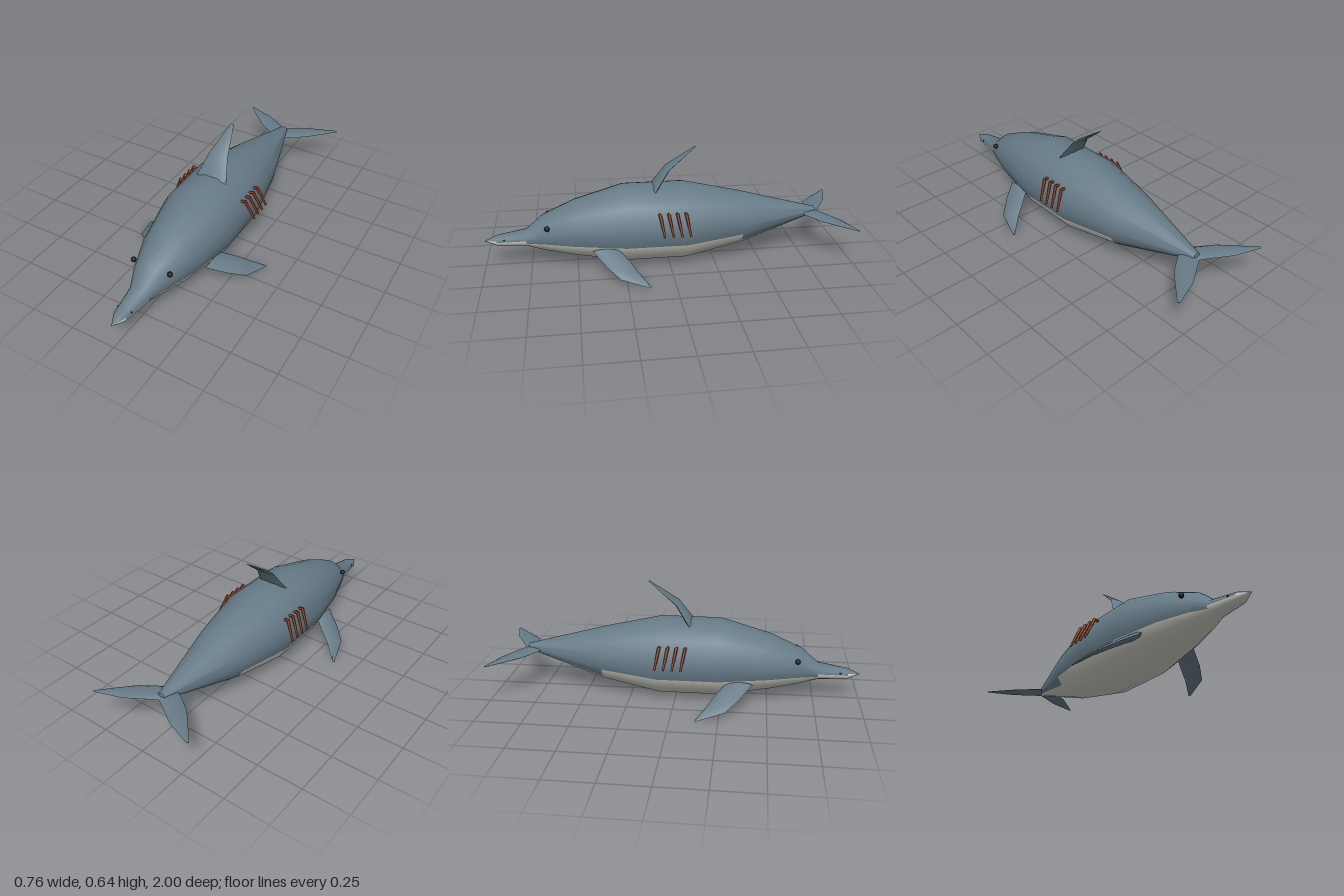
import * as THREE from 'three';
import { toCreasedNormals } from 'three/addons/utils/BufferGeometryUtils.js';

const skin = new THREE.MeshStandardMaterial({ color: 0x667a87 });
const pale = new THREE.MeshStandardMaterial({ color: 0xc9c9c0 });
const dark = new THREE.MeshStandardMaterial({ color: 0x1c1c1c });
const rust = new THREE.MeshStandardMaterial({ color: 0xa04a2c });

const SIDES = 18;

// Body stations, tail to snout: z, top y, bottom y, half width,
// and the angle from straight down that the pale belly reaches up to the next station
const STATIONS = [
  [-0.845, 0.23, 0.23, 0, 0],
  [-0.84, 0.248, 0.213, 0.023, 50],
  [-0.4, 0.363, 0.07, 0.155, 70],
  [-0.09, 0.433, 0.006, 0.213, 70],
  [0.24, 0.433, 0.006, 0.211, 70],
  [0.51, 0.356, 0.05, 0.156, 70],
  [0.68, 0.28, 0.085, 0.097, 70],
  [0.77, 0.203, 0.112, 0.058, 90],
  [0.93, 0.175, 0.12, 0.037, 110],
  [1.0, 0.146, 0.146, 0, 0],
];

function bodyGeometry() {
  const pos = [], back = [], belly = [];
  for (const [z, top, bottom, w] of STATIONS) {
    for (let j = 0; j < SIDES; j++) {
      const a = THREE.MathUtils.degToRad(20 * j - 170);
      pos.push(w * Math.sin(a), (top + bottom) / 2 - (top - bottom) / 2 * Math.cos(a), z);
    }
  }
  for (let i = 0; i < STATIONS.length - 1; i++) {
    for (let j = 0; j < SIDES; j++) {
      const list = Math.abs(20 * j - 160) < STATIONS[i][4] ? belly : back;
      const a = i * SIDES + j, b = i * SIDES + (j + 1) % SIDES;
      if (STATIONS[i][3] > 0) list.push(a, b, b + SIDES);
      if (STATIONS[i + 1][3] > 0) list.push(a, b + SIDES, a + SIDES);
      else if (STATIONS[i][3] === 0) list.push(a, b + SIDES, a + SIDES);
    }
  }
  const g = new THREE.BufferGeometry();
  g.setAttribute('position', new THREE.Float32BufferAttribute(pos, 3));
  g.setIndex([...back, ...belly]);
  g.addGroup(0, back.length, 0);
  g.addGroup(back.length, belly.length, 1);
  return toCreasedNormals(g, 0.75);
}

// Lofts a lens-shaped fin through sections [leading edge, trailing edge, half thickness]
function finGeometry(sections, normal, side = 1) {
  const N = 8, pos = [], idx = [];
  const n = new THREE.Vector3(...normal).normalize();
  for (const [lead, trail, t] of sections) {
    const l = new THREE.Vector3(...lead), r = new THREE.Vector3(...trail);
    const mid = l.clone().add(r).multiplyScalar(0.5), half = l.sub(r).multiplyScalar(0.5);
    for (let k = 0; k < N; k++) {
      const a = k / N * Math.PI * 2;
      const p = mid.clone().addScaledVector(half, Math.cos(a)).addScaledVector(n, t * Math.sin(a));
      pos.push(p.x * side, p.y, p.z);
    }
  }
  for (let i = 0; i < sections.length - 1; i++) {
    for (let k = 0; k < N; k++) {
      const a = i * N + k, b = i * N + (k + 1) % N;
      idx.push(a, b, b + N, a, b + N, a + N);
    }
  }
  // end caps
  const e = (sections.length - 1) * N;
  for (let k = 1; k < N - 1; k++) idx.push(0, k + 1, k, e, e + k, e + k + 1);
  // turn the faces outward if the loft came out inverted
  const v = i => new THREE.Vector3().fromArray(pos, idx[i] * 3);
  let volume = 0;
  for (let i = 0; i < idx.length; i += 3) volume += v(i).dot(v(i + 1).cross(v(i + 2)));
  if (volume < 0) idx.reverse();
  const g = new THREE.BufferGeometry();
  g.setAttribute('position', new THREE.Float32BufferAttribute(pos, 3));
  g.setIndex(idx);
  return toCreasedNormals(g, 0.8);
}

// Tapered bar between two points
function bar(from, to, r0, r1) {
  const a = new THREE.Vector3(...from), b = new THREE.Vector3(...to);
  const d = b.clone().sub(a);
  const m = new THREE.Mesh(toCreasedNormals(new THREE.CylinderGeometry(r1, r0, d.length(), 6), 0.5), rust);
  m.quaternion.setFromUnitVectors(new THREE.Vector3(0, 1, 0), d.normalize());
  m.position.copy(a.add(b).multiplyScalar(0.5));
  return m;
}

export function createModel() {
  const model = new THREE.Group();
  const add = (name, geometry, material, parent = model) => {
    const m = new THREE.Mesh(geometry, material);
    m.name = name;
    parent.add(m);
    return m;
  };

  add('body', bodyGeometry(), [skin, pale]);

  // Wide, backswept fin on the back
  add('dorsalFin', finGeometry([
    [[0.092, 0.405, 0.078], [-0.092, 0.405, 0.078], 0.016],
    [[0.057, 0.52, 0.0], [-0.057, 0.52, 0.0], 0.011],
    [[0.009, 0.635, -0.153], [-0.009, 0.635, -0.153], 0.002],
  ], [0, 0.7, 0.7]), skin);

  for (const s of [1, -1]) {
    const side = s > 0 ? 'left' : 'right';

    add(side + 'Flipper', finGeometry([
      [[0.165, 0.125, 0.42], [0.17, 0.13, 0.28], 0.018],
      [[0.26, 0.078, 0.355], [0.245, 0.09, 0.225], 0.015],
      [[0.335, 0.037, 0.285], [0.3, 0.057, 0.19], 0.01],
      [[0.38, 0.002, 0.135], [0.372, 0.004, 0.13], 0.002],
    ], [0.5, 0.85, 0], s), skin);

    add(side + 'Fluke', finGeometry([
      [[0, 0.222, -0.735], [0, 0.222, -0.86], 0.013],
      [[0.155, 0.221, -0.835], [0.155, 0.221, -0.952], 0.009],
      [[0.23, 0.221, -0.912], [0.225, 0.221, -0.975], 0.006],
      [[0.304, 0.221, -0.99], [0.296, 0.221, -1.0], 0.002],
    ], [0, 1, 0], s), skin);

    add(side + 'Eye', new THREE.SphereGeometry(0.0145, 12, 8), dark).position.set(0.108 * s, 0.245, 0.655);
    add(side + 'Nostril', new THREE.SphereGeometry(0.005, 8, 6), dark).position.set(0.04 * s, 0.16, 0.89);

    // Row of bent bars on the flank
    const gills = new THREE.Group();
    gills.name = side + 'GillBars';
    for (let i = 0; i < 4; i++) {
      const z = 0.063 - i * 0.046;
      const stem = bar([0.25 * s, 0.22, z - 0.02], [0.203 * s, 0.332, z], 0.006, 0.009);
      const hook = bar([0.178 * s, 0.323, z], [0.206 * s, 0.331, z], 0.008, 0.008);
      stem.name = 'gillBar';
      hook.name = 'gillHook';
      gills.add(stem, hook);
    }
    model.add(gills);
  }
  return model;
}
